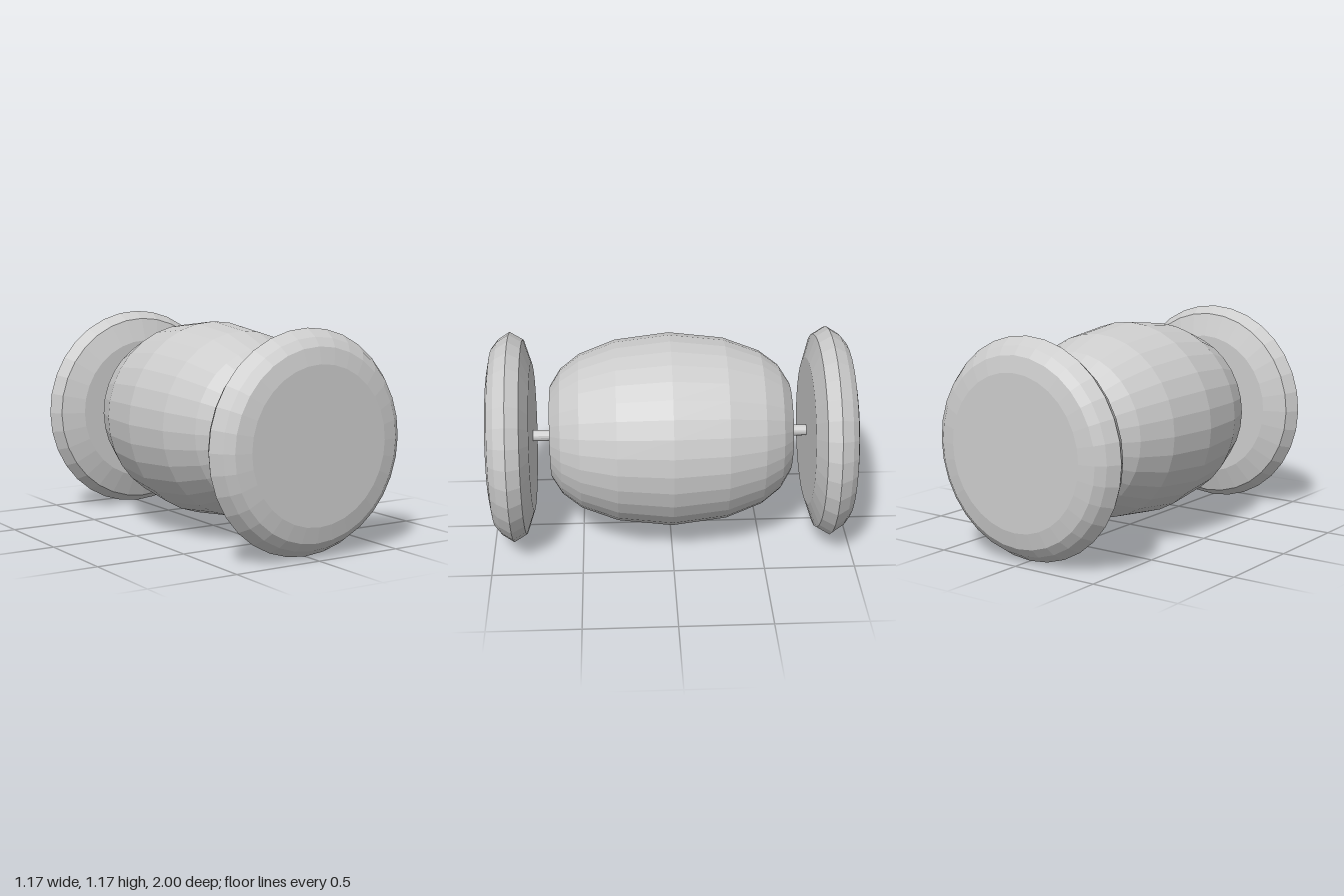
import * as THREE from 'three';

const material = new THREE.MeshStandardMaterial({ color: 0xcccccc, flatShading: true });

// Turned solid lying along z, from [radius, z] pairs in order of rising z
function turned(name, profile, segments, y) {
  const points = profile.map(([r, z]) => new THREE.Vector2(r, z));
  const geometry = new THREE.LatheGeometry(points, segments).rotateX(Math.PI / 2);
  const mesh = new THREE.Mesh(geometry, material);
  mesh.name = name;
  mesh.position.y = y;
  return mesh;
}

export function createModel() {
  const group = new THREE.Group();
  group.name = 'barrelOnWheels';

  // Barrel body, the same profile towards both ends
  const half = [[0.505, 0.3], [0.43, 0.5], [0.35, 0.605], [0.255, 0.665], [0, 0.665]];
  const barrel = [...half.map(([r, z]) => [r, -z]).reverse(), [0.54, 0], ...half];
  group.add(turned('barrelBody', barrel, 32, 0.618));

  // Wheel and short axle at each end, wide flat face outwards
  const wheel = [
    [0, 0.767], [0.415, 0.767], [0.545, 0.81], [0.587, 0.88],
    [0.546, 0.945], [0.5, 0.982], [0.413, 1], [0, 1],
  ];
  const axle = [[0, 0.6], [0.031, 0.6], [0.031, 0.8], [0, 0.8]];
  for (const [side, angle] of [['front', 0], ['back', Math.PI]]) {
    const end = new THREE.Group();
    end.name = side + 'End';
    end.add(turned(side + 'Wheel', wheel, 32, 0.587));
    end.add(turned(side + 'Axle', axle, 16, 0.592));
    end.rotation.y = angle;
    group.add(end);
  }
  return group;
}
